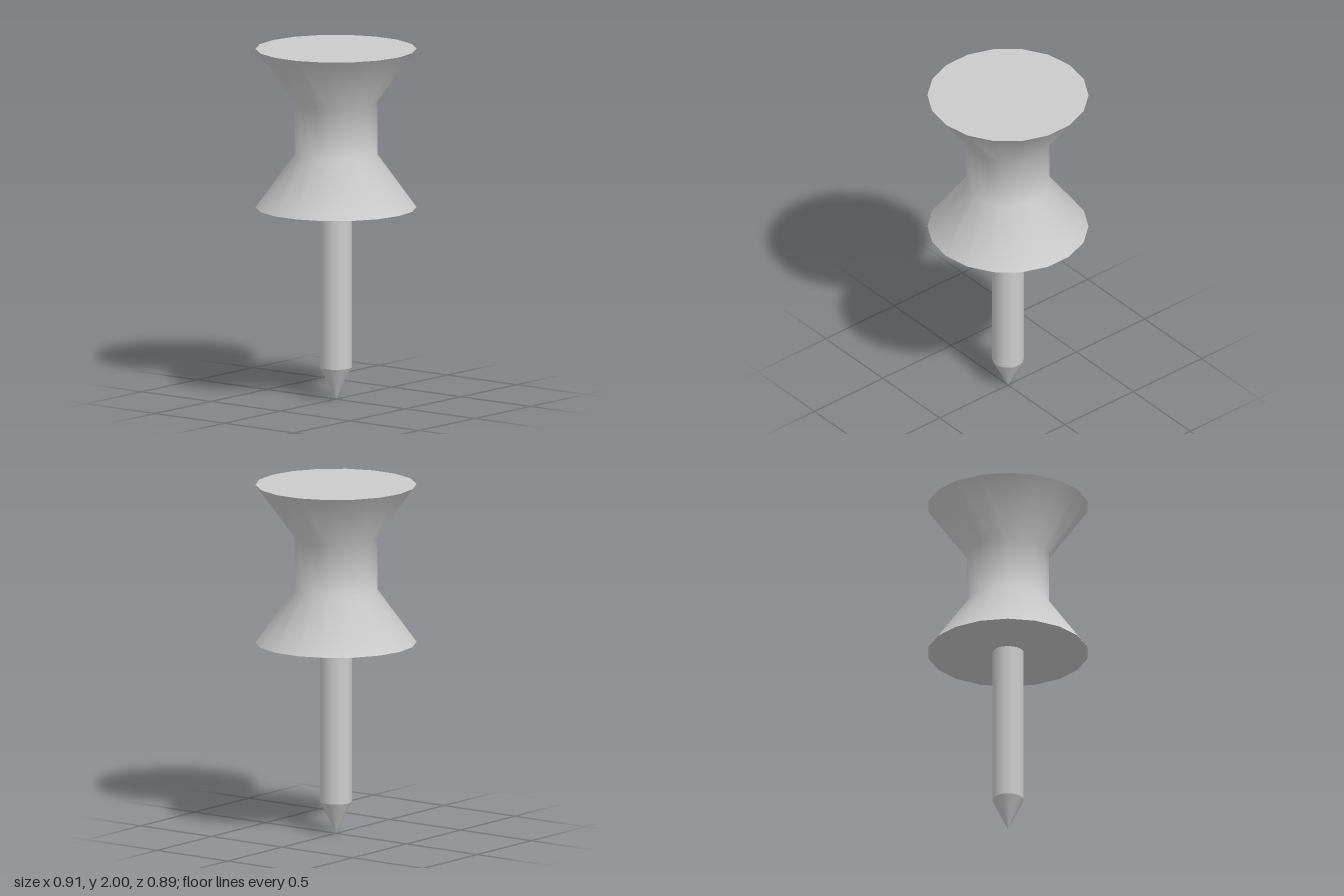
import * as THREE from 'three';

const SIDES = 18;
const material = new THREE.MeshStandardMaterial({ color: 0xcccccc });

export function createModel() {
  const group = new THREE.Group();

  const add = (name, geometry, y = 0) => {
    const mesh = new THREE.Mesh(geometry, material);
    mesh.name = name;
    mesh.position.y = y;
    group.add(mesh);
    return mesh;
  };

  // Revolve a bottom-to-top profile, with a corner on the x axis
  const revolve = (name, profile) => add(name, new THREE.LatheGeometry(
    profile.map(([r, y]) => new THREE.Vector2(r, y)), SIDES, Math.PI / 2));

  // Waisted grip with flared ends, shaded smoothly along its height
  revolve('grip', [[0.453, 1.095], [0.234, 1.397], [0.234, 1.7], [0.453, 2]]);

  // Flat discs closing the grip
  const topCap = add('gripTop', new THREE.CircleGeometry(0.453, SIDES), 2);
  topCap.rotation.x = -Math.PI / 2;
  const bottomCap = add('gripBottom', new THREE.CircleGeometry(0.453, SIDES), 1.095);
  bottomCap.rotation.x = Math.PI / 2;

  // Straight pin and its pointed tip, with a hard edge between them
  revolve('pin', [[0.089, 0.182], [0.089, 1.095]]);
  revolve('tip', [[0, 0], [0.089, 0.182]]);

  return group;
}
